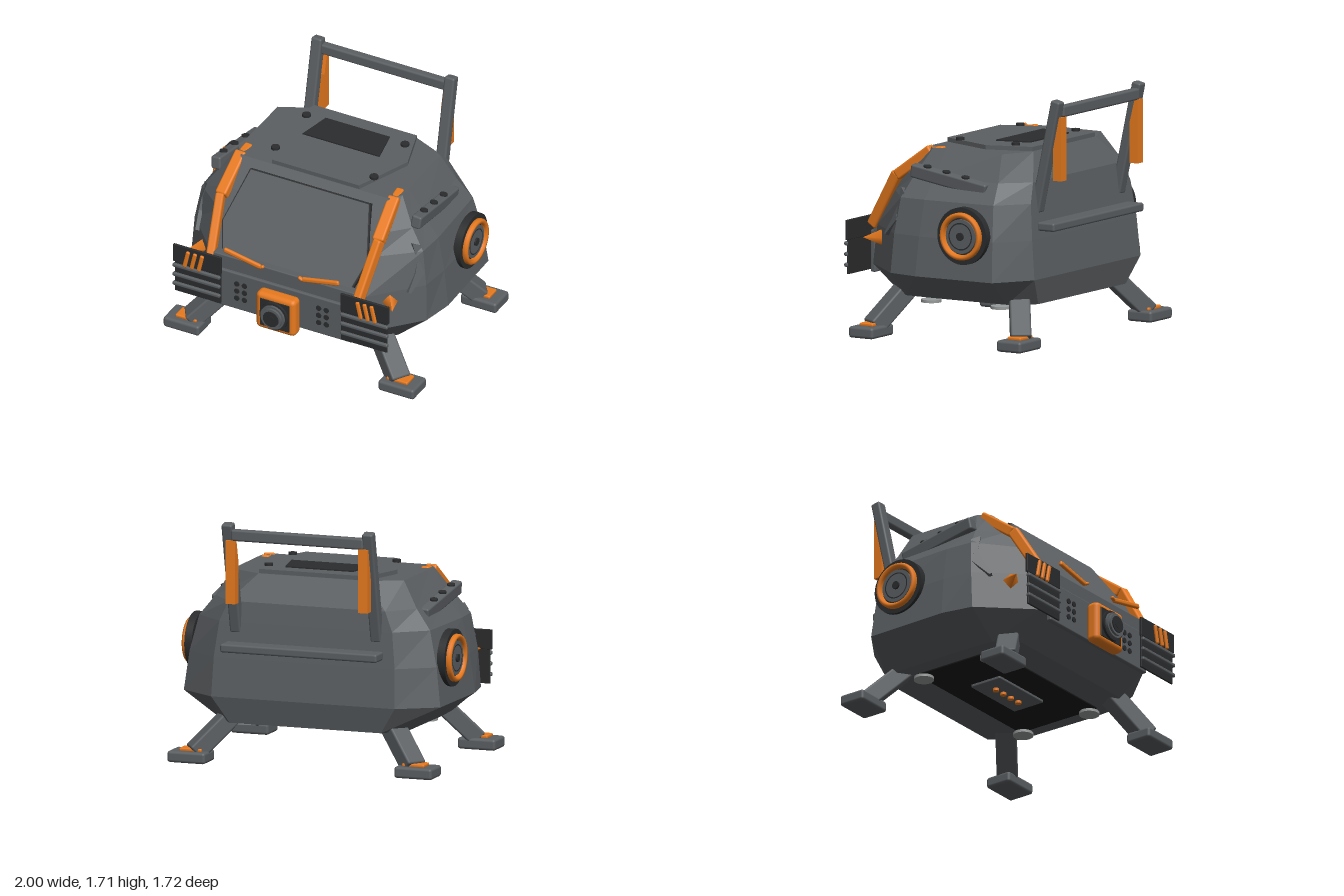
import * as THREE from 'three';
import { RoundedBoxGeometry } from 'three/addons/geometries/RoundedBoxGeometry.js';

const paint = (name, color) => {
  const m = new THREE.MeshStandardMaterial({ color });
  m.name = name;
  return m;
};

export function createModel() {
  const grey = paint('hull grey', 0x5b5f62);
  const dark = paint('dark trim', 0x2b2c2d);
  const black = paint('underside black', 0x171717);
  const orange = paint('orange accent', 0xe87a1e);
  const light = paint('pad grey', 0x999c9c);
  const root = new THREE.Group();
  root.name = 'walkerPod';

  const add = (name, geo, mat, x = 0, y = 0, z = 0, parent = root) => {
    const m = new THREE.Mesh(geo, mat);
    m.name = name;
    m.position.set(x, y, z);
    parent.add(m);
    return m;
  };
  const rbox = (w, h, d, r = 0.015) => new RoundedBoxGeometry(w, h, d, 2, Math.min(r, w / 2.1, h / 2.1, d / 2.1));
  // Box running from point a to point b
  const beam = (name, mat, a, b, w, h) => {
    const p = new THREE.Vector3(...a), q = new THREE.Vector3(...b);
    const m = add(name, rbox(w, h, p.distanceTo(q)), mat);
    m.position.copy(p).add(q).multiplyScalar(0.5);
    m.lookAt(q);
  };
  // Extruded polygon, growing along +z
  const plate = (pts, depth) => new THREE.ExtrudeGeometry(
    new THREE.Shape(pts.map(p => new THREE.Vector2(...p))), { depth, bevelEnabled: false });
  const disc = (r, h, n = 32) => new THREE.CylinderGeometry(r, r, h, n);
  const zdisc = (r, h, n = 32) => disc(r, h, n).rotateX(Math.PI / 2);
  const mirrored = right => [...right, ...right.map(([x, y]) => [-x, y]).reverse()];

  // Faceted hull: height, then right-hand outline [x, z] from front to back
  const levels = [
    [0.29, [[0.56, 0.45], [0.7, 0.3], [0.71, 0.06], [0.7, -0.52], [0.56, -0.69]]],
    [0.475, [[0.61, 0.63], [0.92, 0.29], [0.965, 0.06], [0.95, -0.56], [0.68, -0.735]]],
    [0.75, [[0.61, 0.595], [0.905, 0.27], [0.93, 0.05], [0.915, -0.54], [0.67, -0.71]]],
    [1.0, [[0.61, 0.45], [0.865, 0.24], [0.878, 0.04], [0.855, -0.51], [0.64, -0.68]]],
    [1.14, [[0.61, 0.355], [0.76, 0.2], [0.765, 0.03], [0.745, -0.48], [0.58, -0.66]]],
    [1.325, [[0.58, 0.2], [0.64, 0.12], [0.64, 0.02], [0.635, -0.44], [0.4, -0.55]]],
  ];
  const rings = levels.map(([y, side]) => mirrored(side).map(([x, z]) => [x, y, z]));
  const n = rings[0].length;
  const verts = [];
  const tri = (...ps) => ps.forEach(p => verts.push(...p));
  for (let l = 0; l < rings.length - 1; l++) {
    const a = rings[l], b = rings[l + 1];
    for (let i = 0; i < n; i++) {
      const j = (i + 1) % n;
      tri(a[i], a[j], b[j]);
      tri(a[i], b[j], b[i]);
    }
  }
  const bottom = rings[0], top = rings[rings.length - 1];
  for (let i = 1; i < n - 1; i++) {
    tri(top[0], top[i], top[i + 1]);
    tri(bottom[0], bottom[i + 1], bottom[i]);
  }
  const hull = new THREE.BufferGeometry();
  hull.setAttribute('position', new THREE.Float32BufferAttribute(verts, 3));
  hull.computeVertexNormals();
  add('hull', hull, grey);

  // Sloped front window with dark surround and a sill below it
  const windowOutline = k => mirrored([[0.5 + k, 0], [0.56 + k, 0.2], [0.46 + k, 0.59 + k]]);
  add('windowFrame', plate(windowOutline(0.01), 0.03), dark, 0, 0.78, 0.585).rotation.x = -0.607;
  add('frontWindow', plate(windowOutline(0), 0.04), grey, 0, 0.78, 0.585).rotation.x = -0.607;
  add('windowSill', rbox(1.1, 0.12, 0.07, 0.008), grey, 0, 0.745, 0.635);

  // Roof hatch
  const flat = (pts, h) => plate(pts.map(([x, z]) => [x, -z]), h).rotateX(-Math.PI / 2);
  add('roofHatch', flat(mirrored([[0.34, 0.195], [0.5, -0.22], [0.4, -0.54]]), 0.035), grey, 0, 1.32, 0);
  add('roofPanel', flat(mirrored([[0.3, -0.18], [0.25, -0.425]]), 0.009), dark, 0, 1.356, 0);

  // Underside
  add('bellyPlate', rbox(1.18, 0.015, 0.66, 0.005), black, 0, 0.283, -0.1);
  add('bellyBox', rbox(0.5, 0.022, 0.25, 0.006), grey, 0, 0.265, -0.1);
  for (let i = 0; i < 4; i++) add('bellyStud', disc(0.022, 0.03, 16), orange, -0.128 + i * 0.085, 0.25, -0.1);

  // Front bumper and camera
  add('bumperPanel', rbox(1.1, 0.295, 0.04, 0.01), grey, 0, 0.55, 0.672);
  add('cameraHousing', rbox(0.31, 0.295, 0.1, 0.035), orange, 0, 0.525, 0.745);
  add('cameraInset', rbox(0.23, 0.22, 0.008, 0.003), dark, 0, 0.525, 0.796);
  [[0.108, 0.02, 0.808, dark], [0.092, 0.02, 0.825, grey], [0.078, 0.02, 0.842, grey],
    [0.06, 0.008, 0.854, dark], [0.03, 0.006, 0.857, dark]]
    .forEach(([r, h, z, m]) => add('cameraLens', zdisc(r, h), m, 0, 0.525, z));

  // Rear handle bar and ledge
  add('handleBar', rbox(0.98, 0.08, 0.06), grey, 0, 1.637, -0.825);
  add('rearLedge', rbox(1.16, 0.06, 0.14), grey, 0, 0.835, -0.76);

  for (const s of [-1, 1]) {
    for (const z of [-0.395, 0.06]) add('hatchScrew', disc(0.03, 0.02, 20), dark, s * 0.385, 1.362, z);
    for (const z of [-0.39, 0.18]) add('bellyPad', disc(0.07, 0.02, 24), light, s * 0.57, 0.247, z);

    // Legs and feet
    for (const [fz, tz] of [[0.5, 0.34], [-0.71, -0.53]]) {
      beam('leg', grey, [s * 0.815, 0.07, fz], [s * 0.555, 0.37, tz], 0.145, 0.125);
      add('foot', rbox(0.28, 0.08, 0.2, 0.02), grey, s * 0.84, 0.045, fz);
      add('ankleCuff', rbox(0.165, 0.026, 0.11, 0.01), orange, s * 0.825, 0.092, fz);
    }

    // Handle posts with orange braces
    beam('handlePost', grey, [s * 0.52, 0.93, -0.655], [s * 0.52, 1.715, -0.825], 0.08, 0.072);
    const brace = plate([[-0.855, 1.155], [-0.79, 1.155], [-0.79, 1.44], [-0.83, 1.6], [-0.855, 1.6]], 0.07);
    add('handleBrace', brace.rotateY(-Math.PI / 2).translate(0.035, 0, 0), orange, s * 0.49);

    // Orange roll strips beside the window
    beam('lowerStrip', orange, [s * 0.575, 0.735, 0.655], [s * 0.62, 1.125, 0.42], 0.062, 0.08);
    beam('upperStrip', orange, [s * 0.614, 1.11, 0.425], [s * 0.598, 1.31, 0.15], 0.085, 0.075);
    beam('stripTip', orange, [s * 0.598, 1.305, 0.17], [s * 0.592, 1.32, 0.055], 0.06, 0.035);

    // Wiper arms
    beam('wiperArm', orange, [s * 0.45, 0.872, 0.695], [s * 0.16, 0.815, 0.695], 0.028, 0.036);
    beam('wiperTip', orange, [s * 0.17, 0.812, 0.7], [s * 0.135, 0.83, 0.7], 0.028, 0.022);

    // Front grilles with slats and claw marks
    add('grilleTop', rbox(0.375, 0.14, 0.018, 0.004), dark, s * 0.655, 0.73, 0.7);
    add('grilleBack', rbox(0.36, 0.26, 0.014, 0.004), dark, s * 0.65, 0.55, 0.7);
    for (const y of [0.635, 0.56, 0.485])
      add('grilleSlat', rbox(0.37, 0.028, 0.03, 0.01), grey, s * 0.655, y, 0.71);
    for (const x of [0.73, 0.675, 0.62])
      beam('grilleClaw', orange, [s * (x + 0.015), 0.65, 0.722], [s * (x - 0.015), 0.782, 0.722], 0.022, 0.03);
    for (const x of [0.29, 0.35]) for (const y of [0.497, 0.556, 0.615])
      add('bumperDot', zdisc(0.02, 0.014, 16), dark, s * x, y, 0.692);

    // Side wheel
    const wheel = new THREE.Group();
    wheel.name = 'sideWheel';
    wheel.position.set(s * 0.9, 0.785, -0.32);
    wheel.rotation.y = s * Math.PI / 2;
    root.add(wheel);
    add('wheelTyre', zdisc(0.2, 0.055, 40), dark, 0, 0, 0.0355, wheel);
    const rim = [[0.13, 0.04], [0.166, 0.04], [0.166, 0.085], [0.158, 0.098], [0.142, 0.098], [0.13, 0.085], [0.13, 0.04]];
    add('wheelRim', new THREE.LatheGeometry(rim.map(p => new THREE.Vector2(...p)), 40).rotateX(Math.PI / 2),
      orange, 0, 0, 0, wheel);
    add('wheelHub', zdisc(0.12, 0.03), grey, 0, 0, 0.065, wheel);
    add('hubRing', new THREE.RingGeometry(0.087, 0.096, 32), dark, 0, 0, 0.082, wheel);
    add('hubCap', zdisc(0.028, 0.03, 20), dark, 0, 0, 0.078, wheel);

    // Slanted side rail with studs
    const rail = new THREE.Group();
    rail.name = 'sideRail';
    rail.position.set(s * 0.773, 1.135, -0.105);
    rail.rotation.set(-0.17, s * 0.03, -s * 0.1);
    root.add(rail);
    add('railBar', rbox(0.075, 0.095, 0.61), grey, 0, 0, 0, rail);
    for (const z of [-0.12, 0.035, 0.19]) add('railStud', disc(0.028, 0.024, 18), dark, 0, 0.046, z, rail);

    // Jagged trim on the front corner
    const corner = new THREE.Group();
    corner.name = 'cornerTrim';
    corner.position.set(s * 0.82, 0.88, 0.29);
    corner.rotation.y = s * 0.95;
    root.add(corner);
    const trim = [[0, 0.18], [0.07, 0.15], [0.045, 0], [0.06, -0.05], [-0.06, -0.17], [-0.08, -0.16], [-0.01, -0.04], [0.02, 0.05]];
    add('trimPlate', plate(trim.map(([x, y]) => [x * s, y]), 0.035), grey, 0, 0, -0.005, corner).rotation.x = -0.28;

    // Orange corner spike
    const spike = new THREE.ConeGeometry(0.055, 0.13, 4).rotateX(Math.PI / 2);
    add('cornerSpike', spike, orange, s * 0.77, 0.685, 0.535).rotation.y = s * 0.6;
  }
  return root;
}
